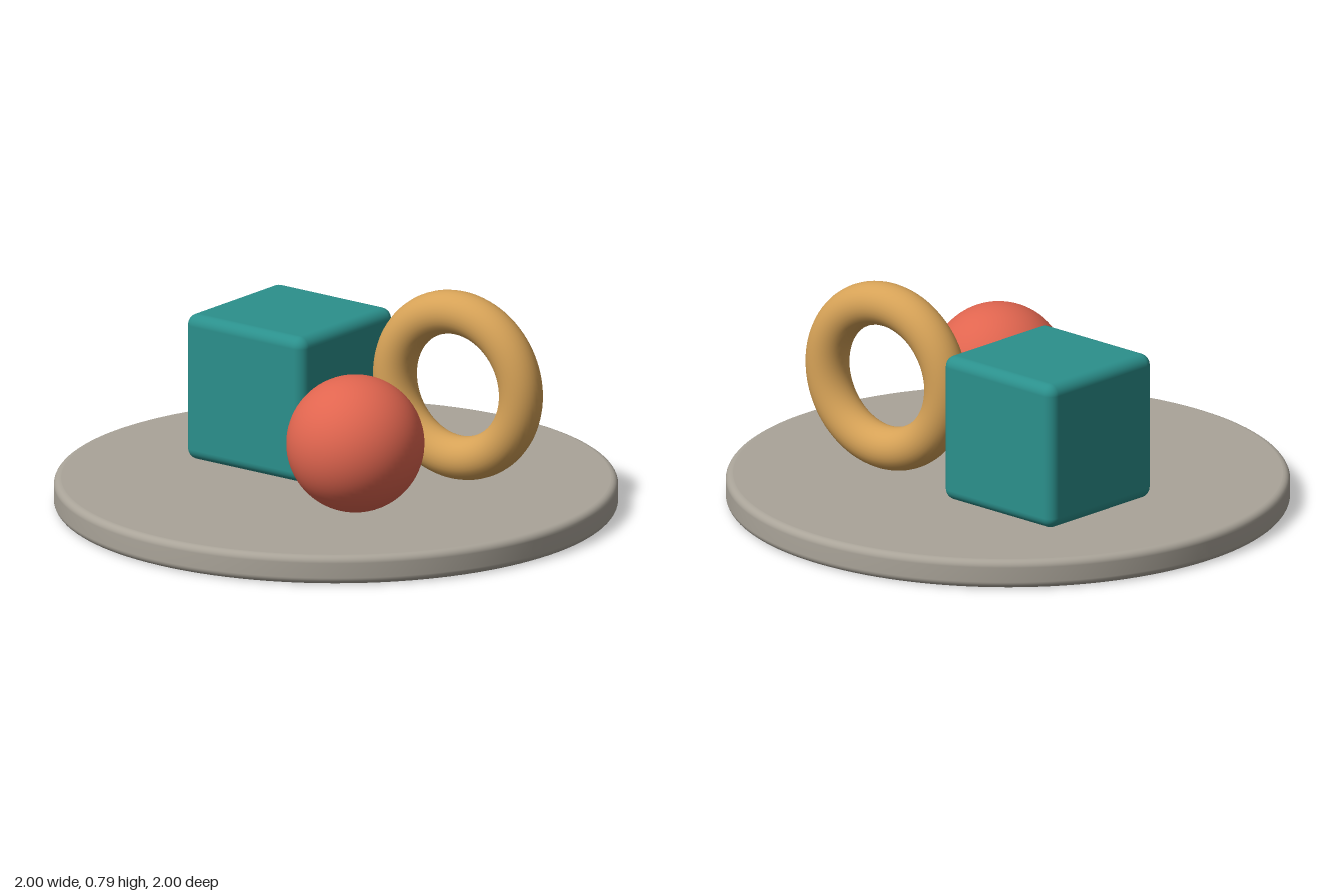
import * as THREE from 'three';
import { RoundedBoxGeometry } from 'three/addons/geometries/RoundedBoxGeometry.js';

const BASE_HEIGHT = 0.104;

function material(name, color) {
  const m = new THREE.MeshStandardMaterial({ color });
  m.name = name;
  return m;
}

// Disc with rounded rims; flat faces and wall keep their own normals
function discGeometry(radius, height, bevel) {
  const points = [new THREE.Vector2(0, 0), new THREE.Vector2(radius - bevel - 0.001, 0)];
  const steps = 6;
  for (const [cy, start] of [[bevel, -Math.PI / 2], [height - bevel, 0]]) {
    for (let i = 0; i <= steps; i++) {
      const a = start + (i / steps) * Math.PI / 2;
      points.push(new THREE.Vector2(radius - bevel + bevel * Math.cos(a), cy + bevel * Math.sin(a)));
    }
  }
  points.push(new THREE.Vector2(radius - bevel - 0.001, height), new THREE.Vector2(0, height));
  return new THREE.LatheGeometry(points, 128);
}

export function createModel() {
  const group = new THREE.Group();
  const stone = material('warm grey', 0xaaa499);
  const teal = material('teal', 0x2b908c);
  const coral = material('coral red', 0xe0654f);
  const ochre = material('ochre', 0xd6a257);

  const add = (name, geometry, mat, x, y, z, turn = 0) => {
    const mesh = new THREE.Mesh(geometry, mat);
    mesh.name = name;
    mesh.position.set(x, y, z);
    mesh.rotation.y = THREE.MathUtils.degToRad(turn);
    group.add(mesh);
  };

  // Round base plate
  add('basePlate', discGeometry(1, BASE_HEIGHT, 0.025), stone, 0, 0, 0);

  // Rounded cube, turned slightly
  const side = 0.535;
  add('cube', new RoundedBoxGeometry(side, side, side, 5, 0.04), teal,
    -0.315, BASE_HEIGHT + side / 2, -0.06, 10);

  // Ball resting on the plate
  const ballRadius = 0.245;
  add('ball', new THREE.SphereGeometry(ballRadius, 64, 40), coral,
    0.35, BASE_HEIGHT + ballRadius, 0.22);

  // Upright ring behind the ball
  const ringRadius = 0.267, tube = 0.078;
  add('ring', new THREE.TorusGeometry(ringRadius, tube, 32, 96), ochre,
    0.296, BASE_HEIGHT + ringRadius + tube, -0.315, 15);

  return group;
}
